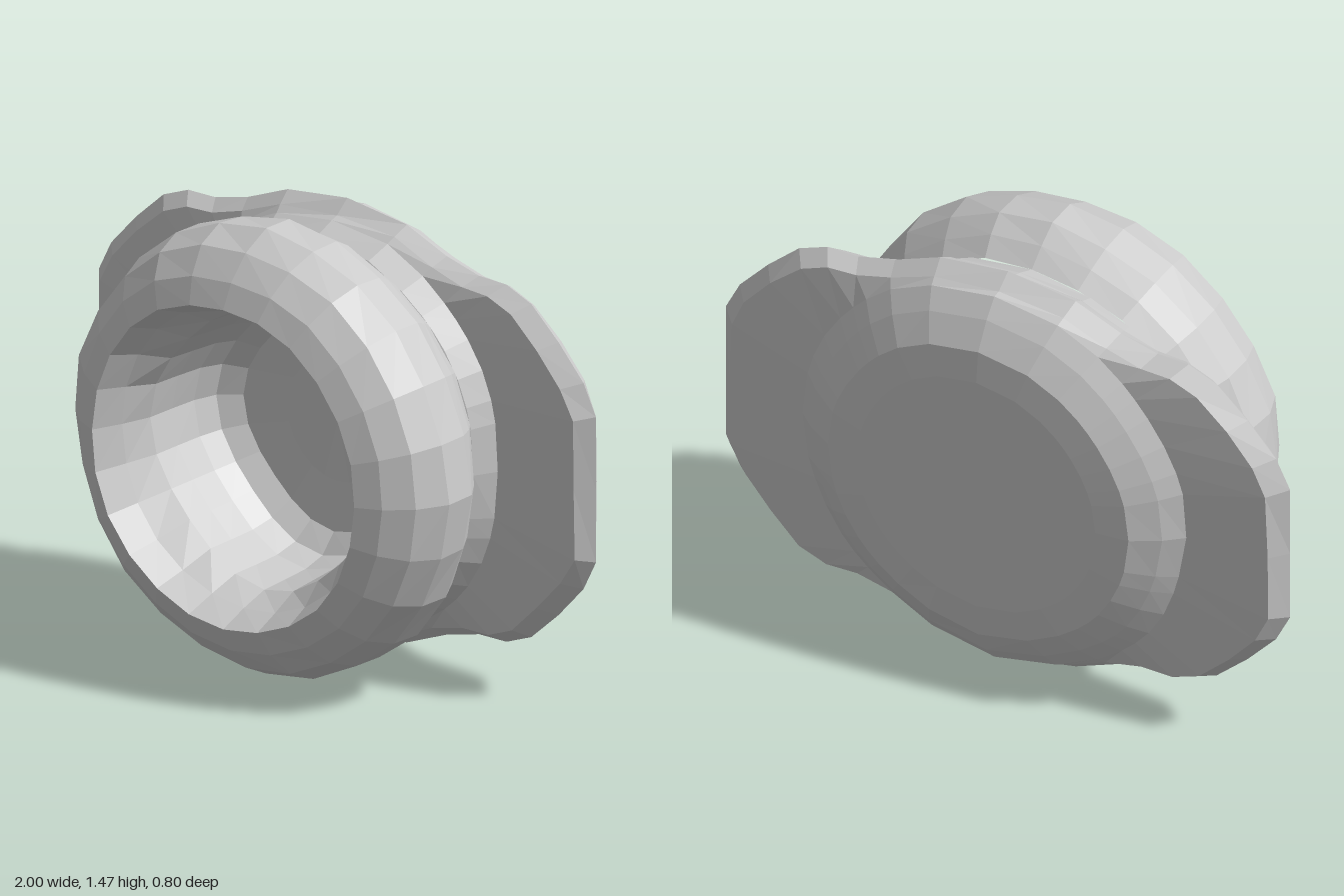
import * as THREE from 'three';

const CENTER_Y = 0.74;

// Smooth, repeatable wobble so the facets look hand-shaped
const wobble = (x, y, z) => Math.sin(9 * x + 5 * z) * Math.cos(8 * y - 4 * z) * 0.6 + Math.sin(17 * x * y + 13 * z) * 0.4;

// Cup: fat front ring rolling into a four-lobed bowl
function makeCup(material) {
  const profile = [
    [0.637, -0.05], [0.685, 0.01], [0.727, 0.08], [0.73, 0.19], [0.685, 0.29],
    [0.61, 0.36], [0.53, 0.398], [0.49, 0.3], [0.44, 0.2], [0.435, 0.1],
    [0.43, 0], [0.41, -0.08], [0.35, -0.135], [0.2, -0.15], [0, -0.155],
  ].map(([r, z]) => new THREE.Vector2(r, z));
  const geometry = new THREE.LatheGeometry(profile, 24);
  geometry.rotateX(Math.PI / 2);
  const p = geometry.attributes.position;
  for (let i = 0; i < p.count; i++) {
    const x = p.getX(i), y = p.getY(i), z = p.getZ(i);
    const r = Math.hypot(x, y);
    if (r < 0.3) continue;
    const lobes = r < 0.48 ? 0.04 * Math.cos(4 * Math.atan2(y, x)) : 0;
    const k = 1 + lobes + 0.014 * wobble(x, y, z);
    p.setXY(i, x * k, y * k);
  }
  geometry.computeVertexNormals();
  const mesh = new THREE.Mesh(geometry, material);
  mesh.name = 'cup';
  return mesh;
}

// Flange: domed back swelling into a pointed rim with side ears, then a round waist
function makeFlange(material) {
  const quarter = [[1, 0.24], [0.95, 0.34], [0.85, 0.45], [0.74, 0.55], [0.64, 0.59], [0.53, 0.592], [0.4, 0.625], [0.24, 0.69]];
  const half = [[1, 0], ...quarter, [0, 0.72], ...quarter.map(([x, y]) => [-x, y]).reverse()];
  const outline = [...half, ...half.map(([x, y]) => [-x, -y])];
  // Each layer: circle radius, outline scale, z
  const layers = [
    [0, 0, -0.4], [0.42, 0, -0.4], [0.53, 0, -0.388], [0.62, 0, -0.335], [0.68, 0, -0.285],
    [0, 0.95, -0.258], [0, 1, -0.2], [0, 0.95, -0.15], [0.675, 0, -0.125], [0.637, 0, -0.05], [0.61, 0, -0.03],
  ];
  const n = outline.length;
  const positions = [];
  const indices = [];
  layers.forEach(([r, s, z], j) => {
    outline.forEach(([ox, oy], i) => {
      const f = r / Math.hypot(ox, oy) + s;
      const x = ox * f, y = oy * f;
      const k = 1 + (s === 1 ? 0 : 0.014 * wobble(x, y, z));
      positions.push(x * k, y * k, z);
      if (j === layers.length - 1) return;
      const a = j * n + i, b = j * n + (i + 1) % n;
      indices.push(a, b, b + n, a, b + n, a + n);
    });
  });
  const geometry = new THREE.BufferGeometry();
  geometry.setAttribute('position', new THREE.Float32BufferAttribute(positions, 3));
  geometry.setIndex(indices);
  geometry.computeVertexNormals();
  const mesh = new THREE.Mesh(geometry, material);
  mesh.name = 'flange';
  return mesh;
}

export function createModel() {
  const material = new THREE.MeshStandardMaterial({ color: 0xcccccc, flatShading: true });
  const group = new THREE.Group();
  group.name = 'flangedCup';
  for (const part of [makeCup(material), makeFlange(material)]) {
    part.position.y = CENTER_Y;
    group.add(part);
  }
  return group;
}
